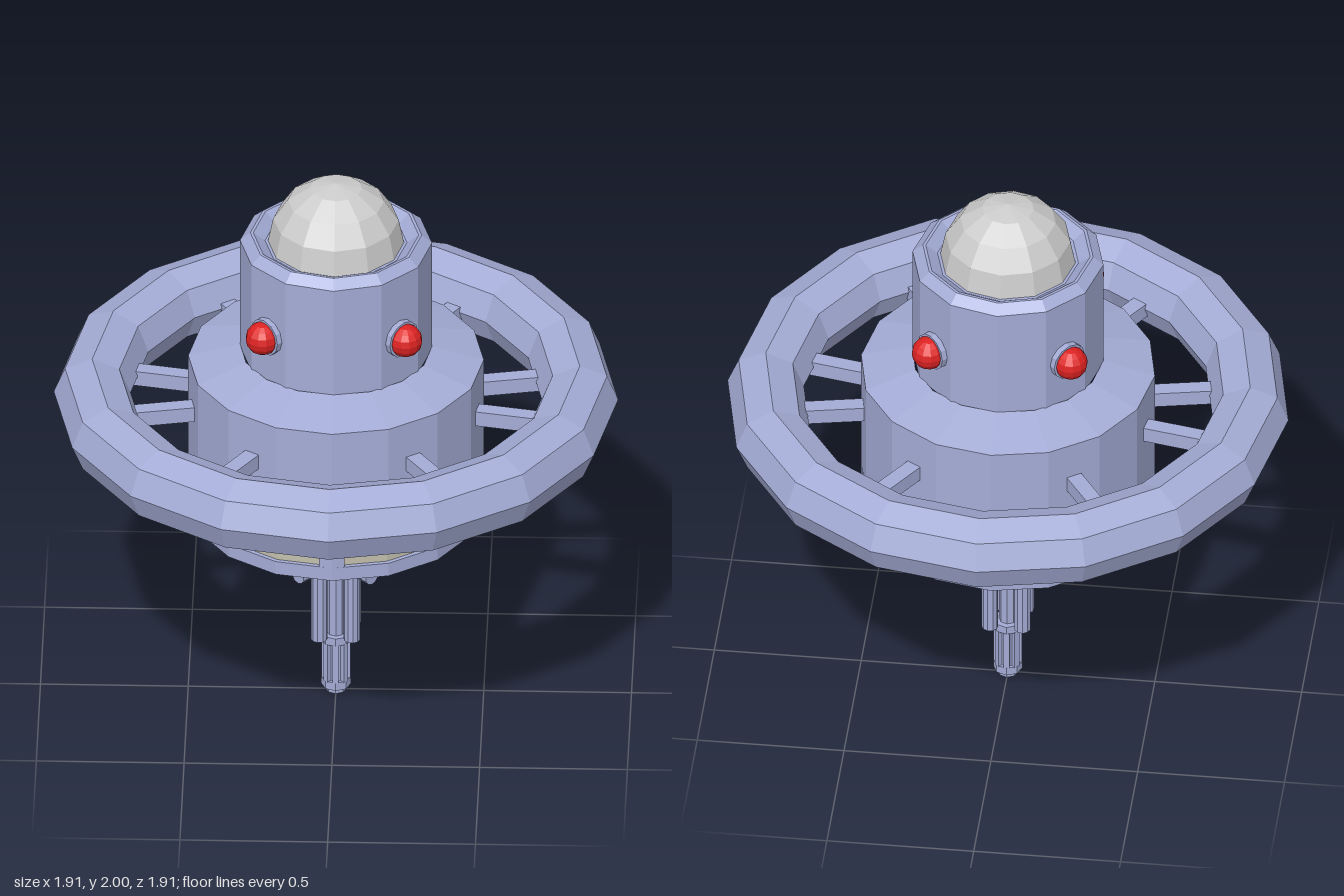
import * as THREE from 'three';

const paint = (color) => new THREE.MeshStandardMaterial({ color, flatShading: true });

export function createModel() {
  const model = new THREE.Group();
  const hull = paint(0xa4acd6);
  const grey = paint(0xcccccc);
  const glass = paint(0xc2bfae);
  const red = paint(0xdd2222);

  const add = (name, geometry, material, parent = model) => {
    const mesh = new THREE.Mesh(geometry, material);
    mesh.name = name;
    parent.add(mesh);
    return mesh;
  };
  // Faceted solid of revolution from [radius, height] pairs, bottom to top
  const turned = (points, sides) =>
    new THREE.LatheGeometry(points.map(([r, y]) => new THREE.Vector2(r, y)), sides);
  // Group turned about the vertical axis, its local +z pointing outwards
  const spun = (name, angle) => {
    const group = new THREE.Group();
    group.name = name;
    group.rotation.y = angle;
    model.add(group);
    return group;
  };
  const upright = (radius, y0, y1, sides) =>
    new THREE.CylinderGeometry(radius, radius, y1 - y0, sides).translate(0, (y0 + y1) / 2, 0);

  // Main hull with a recessed window band
  add('hullBase', turned([[0, 0.73], [0.5, 0.73], [0.5, 0.78], [0.475, 0.78]], 16), hull);
  add('windowBand', turned([[0.485, 0.78], [0.485, 0.86]], 16), glass);
  add('hullBody', turned([[0.475, 0.86], [0.5, 0.86], [0.5, 1.31], [0.325, 1.36]], 16), hull);

  // Tower with a bevelled, dished rim
  add('tower', turned([
    [0.325, 1.35], [0.325, 1.77], [0.29, 1.8], [0.28, 1.8], [0.24, 1.77], [0, 1.77],
  ], 12), hull);

  // Dome
  const dome = new THREE.SphereGeometry(0.23, 12, 4, 0, Math.PI * 2, 0, Math.PI / 2);
  add('dome', dome.translate(0, 1.77, 0), grey);

  // Outer ring
  const ring = new THREE.TorusGeometry(0.825, 0.13, 8, 16).rotateX(Math.PI / 2);
  add('ring', ring.translate(0, 1.16, 0), hull);

  // Spokes, in four pairs either side of the x axis and the diagonals beyond it
  for (const degrees of [11.25, 56.25, 123.75, 168.75]) {
    for (const side of [-1, 1]) {
      const spoke = spun('spokeMount', Math.PI / 2 + side * THREE.MathUtils.degToRad(degrees));
      add('spoke', new THREE.BoxGeometry(0.055, 0.055, 0.32).translate(0, 1.15, 0.6), hull, spoke);
    }
  }

  for (let i = 0; i < 4; i++) {
    // Pillars between the windows
    const pillar = spun('pillarMount', i * Math.PI / 2);
    const outline = new THREE.Shape([
      [-0.043, -0.44], [0.043, -0.44], [0.043, -0.491], [0, -0.5], [-0.043, -0.491],
    ].map(([x, y]) => new THREE.Vector2(x, y)));
    const block = new THREE.ExtrudeGeometry(outline, { depth: 0.08, bevelEnabled: false });
    add('windowPillar', block.rotateX(-Math.PI / 2).translate(0, 0.78, 0), hull, pillar);

    // Lamps on the tower, mast rods and cross arms, all on the diagonals
    const diagonal = spun('diagonalParts', Math.PI / 4 + i * Math.PI / 2);
    const collar = new THREE.CylinderGeometry(0.066, 0.066, 0.06, 12).rotateX(Math.PI / 2);
    add('lampCollar', collar.translate(0, 1.53, 0.305), hull, diagonal);
    add('lamp', new THREE.SphereGeometry(0.058, 12, 8).translate(0, 1.53, 0.342), red, diagonal);
    add('mastRod', upright(0.028, 0.23, 0.74, 10).translate(0, 0, 0.078), hull, diagonal);
    const arm = new THREE.CylinderGeometry(0.029, 0.029, 0.178, 10).rotateX(Math.PI / 2);
    add('crossArm', arm.translate(0, 0.52, 0.089), hull, diagonal);
  }

  // Mast core and ribbed probe tip
  add('mastCore', upright(0.03, 0.2, 0.74, 8), hull);
  add('probe', turned([
    [0, 0], [0.035, 0], [0.035, 0.02], [0.05, 0.02], [0.05, 0.05], [0.038, 0.05],
    [0.038, 0.195], [0.05, 0.195], [0.05, 0.225], [0, 0.225],
  ], 8), hull);
  for (let i = 0; i < 8; i++) {
    const mount = spun('ribMount', i * Math.PI / 4);
    add('probeRib', new THREE.BoxGeometry(0.02, 0.15, 0.02).translate(0, 0.122, 0.039), hull, mount);
  }

  return model;
}
